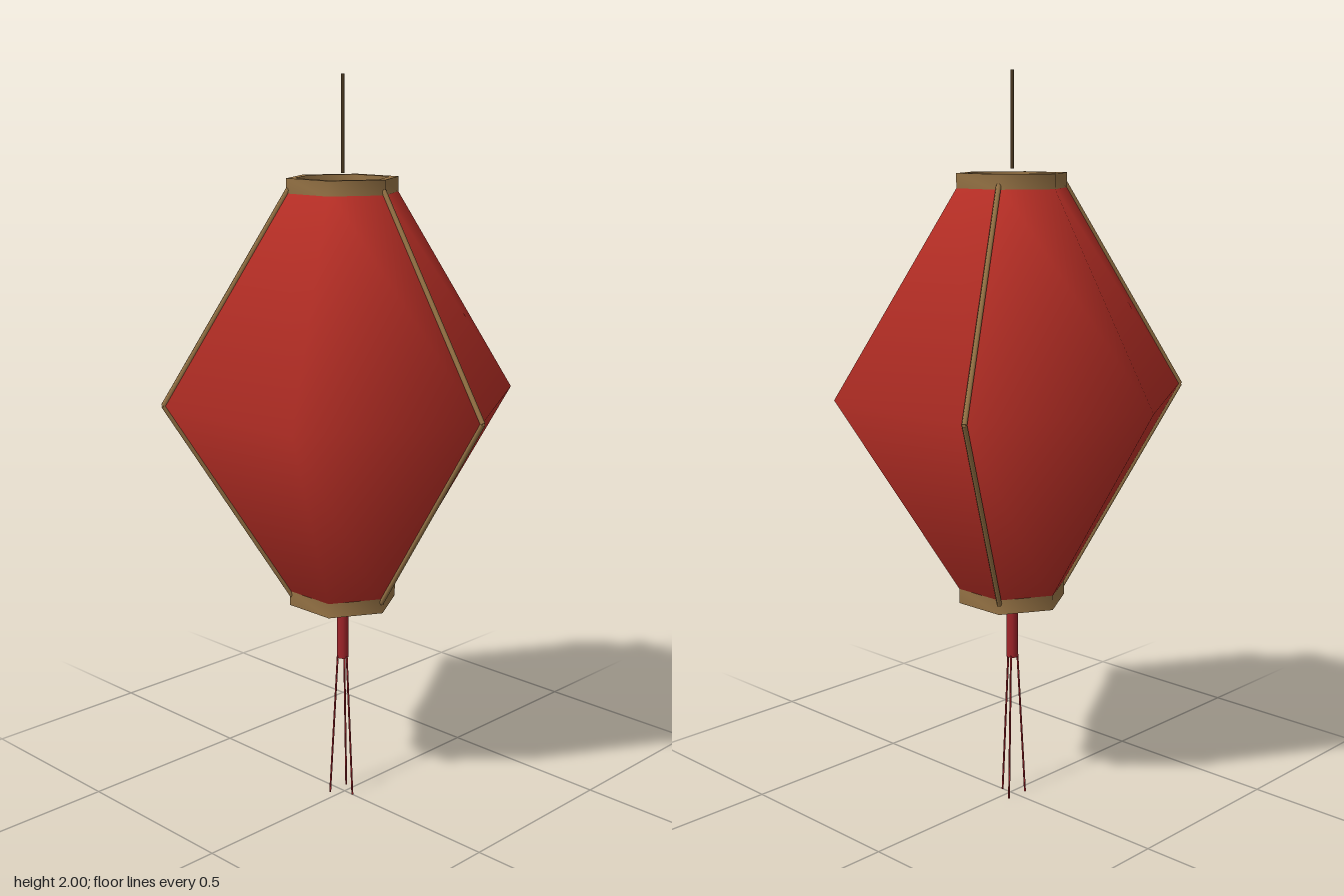
import * as THREE from 'three';
import { toCreasedNormals } from 'three/addons/utils/BufferGeometryUtils.js';

const CX = -0.007;      // axis of the lantern
const MID = 1.16;       // height of the widest point
const SIDES = 6;

const material = (name, color, extra = {}) => {
  const m = new THREE.MeshStandardMaterial({ color, ...extra });
  m.name = name;
  return m;
};

export function createModel() {
  const red = material('paperRed', 0xb92f26, { side: THREE.DoubleSide });
  const wood = material('bambooBrown', 0x967345);
  const tasselRed = material('tasselRed', 0xa0242a);
  const cream = material('lampCream', 0xe2d1a6, { flatShading: true });
  const cordBrown = material('cordBrown', 0x4a3820);

  const model = new THREE.Group();
  model.name = 'lantern';
  const body = new THREE.Group();
  body.name = 'lanternBody';
  body.position.x = CX;
  model.add(body);

  const add = (name, geometry, mat, y = 0) => {
    const mesh = new THREE.Mesh(geometry, mat);
    mesh.name = name;
    mesh.position.y = y;
    body.add(mesh);
    return mesh;
  };
  // Six-sided lathe with a corner on the x axis
  const hexLathe = (points) => new THREE.LatheGeometry(
    points.map(([r, y]) => new THREE.Vector2(r, y)), SIDES, Math.PI / 2);
  // Thin round bar between two points
  const bar = (name, a, b, radius, mat) => {
    const dir = b.clone().sub(a);
    const mesh = add(name, new THREE.CylinderGeometry(radius, radius, dir.length(), 6), mat);
    mesh.position.copy(a).add(b).multiplyScalar(0.5);
    mesh.quaternion.setFromUnitVectors(new THREE.Vector3(0, 1, 0), dir.normalize());
  };
  const polar = (r, angle, y) => new THREE.Vector3(r * Math.cos(angle), y, r * Math.sin(angle));

  // Paper shade, open at both ends
  add('paperShade', hexLathe([[0.142, 0.605], [0.483, MID], [0.142, 1.715]]), red);

  // Hexagonal collars
  const h = 0.021;
  const collar = toCreasedNormals(
    hexLathe([[0.128, -h], [0.151, -h], [0.151, h], [0.128, h], [0.128, -h]]), 1.2);
  add('topCollar', collar, wood, 1.718);
  add('bottomCollar', collar, wood, 0.6);

  // Lamp inside the shade
  add('lamp', new THREE.SphereGeometry(0.107, SIDES, 4), cream, MID).rotation.y = Math.PI / 6;

  // Three bent ribs and three tassel strands
  for (let i = 0; i < 3; i++) {
    const angle = (i * Math.PI * 2) / 3;
    const middle = polar(0.485, angle, MID);
    bar('upperRib', middle, polar(0.145, angle, 1.712), 0.007, wood);
    bar('lowerRib', polar(0.145, angle, 0.606), middle, 0.007, wood);
    bar('tasselStrand', polar(0.038, angle, 0), polar(0.015, angle, 0.415), 0.0028, tasselRed);
  }

  // Tassel head and hanging cord
  add('tasselHead', new THREE.CylinderGeometry(0.016, 0.016, 0.19, 8), tasselRed, 0.505);
  add('hangingCord', new THREE.CylinderGeometry(0.005, 0.005, 0.25, 6), cordBrown, 1.875);

  return model;
}
